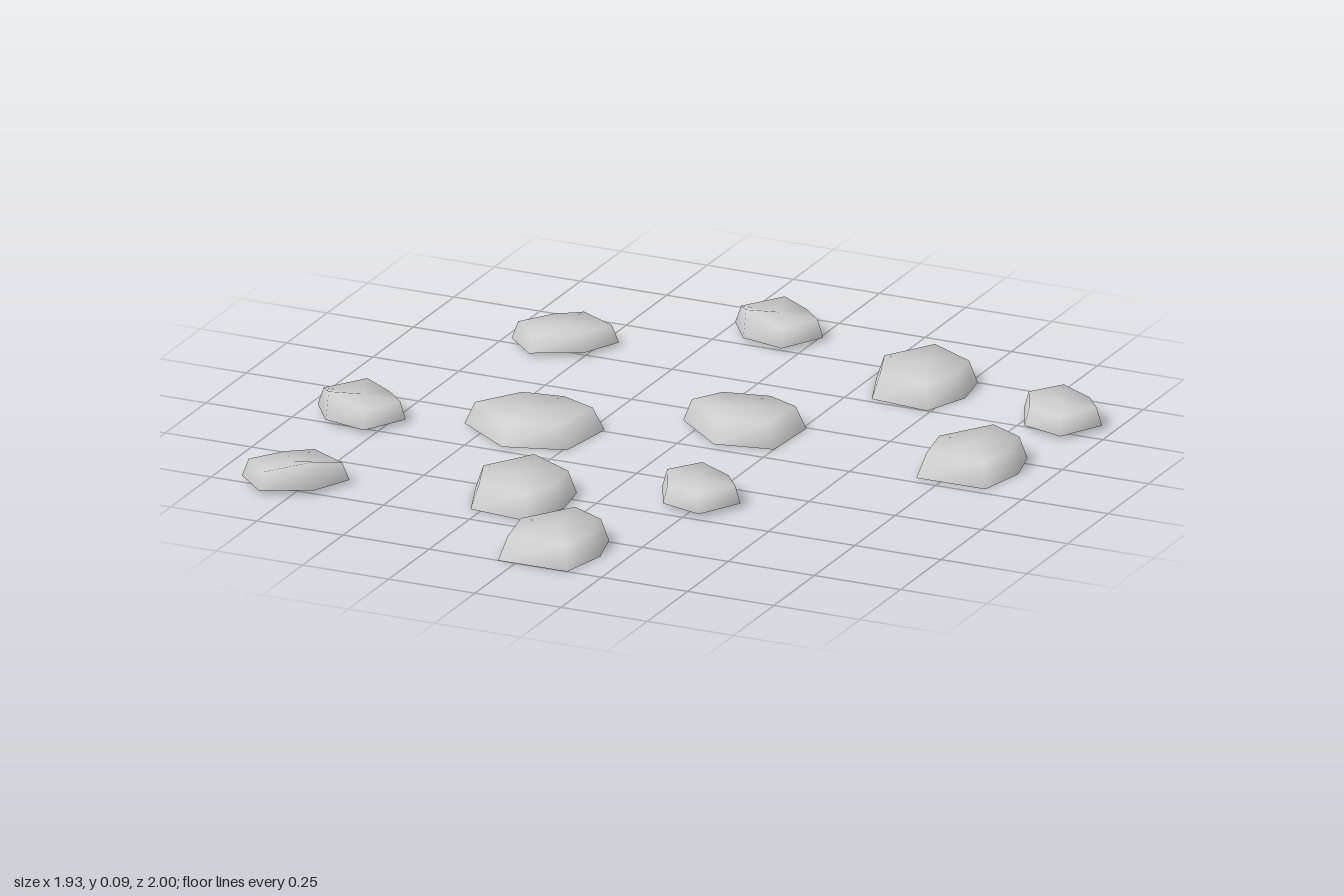
import * as THREE from 'three';

// Footprints of the stones as [x, z] corners, clockwise seen from above.
const FOOTPRINTS = {
  broad: [[-0.04, -0.17], [0.12, -0.08], [0.14, 0.04], [0.09, 0.17], [-0.08, 0.15], [-0.14, -0.01]],
  upright: [[-0.02, -0.165], [0.10, -0.10], [0.13, 0.02], [0.10, 0.16], [-0.10, 0.16], [-0.13, 0]],
  wide: [[-0.10, -0.10], [0.05, -0.13], [0.16, -0.08], [0.15, 0.10], [-0.01, 0.13], [-0.16, 0]],
  widest: [[-0.085, -0.125], [0.05, -0.145], [0.175, -0.09], [0.15, 0.09], [-0.015, 0.14], [-0.18, 0.02]],
  pebble: [[-0.05, -0.13], [0.07, -0.06], [0.125, 0.01], [0.06, 0.13], [-0.06, 0.095], [-0.12, -0.03]],
  peakedPebble: [[-0.045, -0.13], [0.065, -0.055], [0.13, 0.01], [0.065, 0.13], [-0.06, 0.10], [-0.13, 0]],
  slantedPebble: [[0.015, -0.12], [0.14, -0.05], [0.09, 0.06], [-0.04, 0.125], [-0.13, 0.04], [-0.06, -0.065]],
};

// Placement of each stone; peak is the corner whose rim is raised.
const STONES = [
  { shape: 'broad', x: 0.40, z: -0.67 },
  { shape: 'broad', x: -0.20, z: 0.53 },
  { shape: 'upright', x: 0.78, z: -0.19 },
  { shape: 'upright', x: 0.05, z: 0.84 },
  { shape: 'wide', x: 0.10, z: -0.165 },
  { shape: 'widest', x: -0.39, z: 0.08 },
  { shape: 'pebble', x: 0.84, z: -0.58, small: true },
  { shape: 'pebble', x: 0.23, z: 0.355, small: true },
  { shape: 'slantedPebble', x: -0.59, z: -0.55, small: true },
  { shape: 'slantedPebble', x: -0.79, z: 0.69, small: true, peak: 2 },
  { shape: 'peakedPebble', x: -0.11, z: -0.87, small: true, peak: 4 },
  { shape: 'peakedPebble', x: -0.84, z: 0.155, small: true, peak: 4 },
];

// Hollow stone: flared skirt, narrower rim and a flat cap, open underneath.
function stoneGeometry(outline, small, peak) {
  const n = outline.length;
  const bottom = small ? 0.01 : 0;
  const top = small ? 0.058 : 0.063;
  const inset = small ? 0.87 : 0.84;
  const positions = [];
  const index = [];
  for (const [x, z] of outline) positions.push(x, bottom, z);
  outline.forEach(([x, z], i) => {
    const s = i === peak ? 0.92 : inset;
    positions.push(x * s, i === peak ? 0.087 : top, z * s);
  });
  positions.push(0, top, 0);
  for (let i = 0; i < n; i++) {
    const j = (i + 1) % n;
    index.push(i, n + i, j, j, n + i, n + j); // skirt
    index.push(2 * n, n + j, n + i); // cap
  }
  const geometry = new THREE.BufferGeometry();
  geometry.setAttribute('position', new THREE.Float32BufferAttribute(positions, 3));
  geometry.setIndex(index);
  geometry.computeVertexNormals();
  return geometry;
}

export function createModel() {
  const group = new THREE.Group();
  group.name = 'steppingStones';
  const material = new THREE.MeshStandardMaterial({ color: 0xcccccc, side: THREE.DoubleSide });
  STONES.forEach(({ shape, x, z, small = false, peak = -1 }, i) => {
    const stone = new THREE.Mesh(stoneGeometry(FOOTPRINTS[shape], small, peak), material);
    stone.name = `${small ? 'smallStone' : 'largeStone'}${i + 1}`;
    stone.position.set(x, 0, z);
    group.add(stone);
  });
  return group;
}
